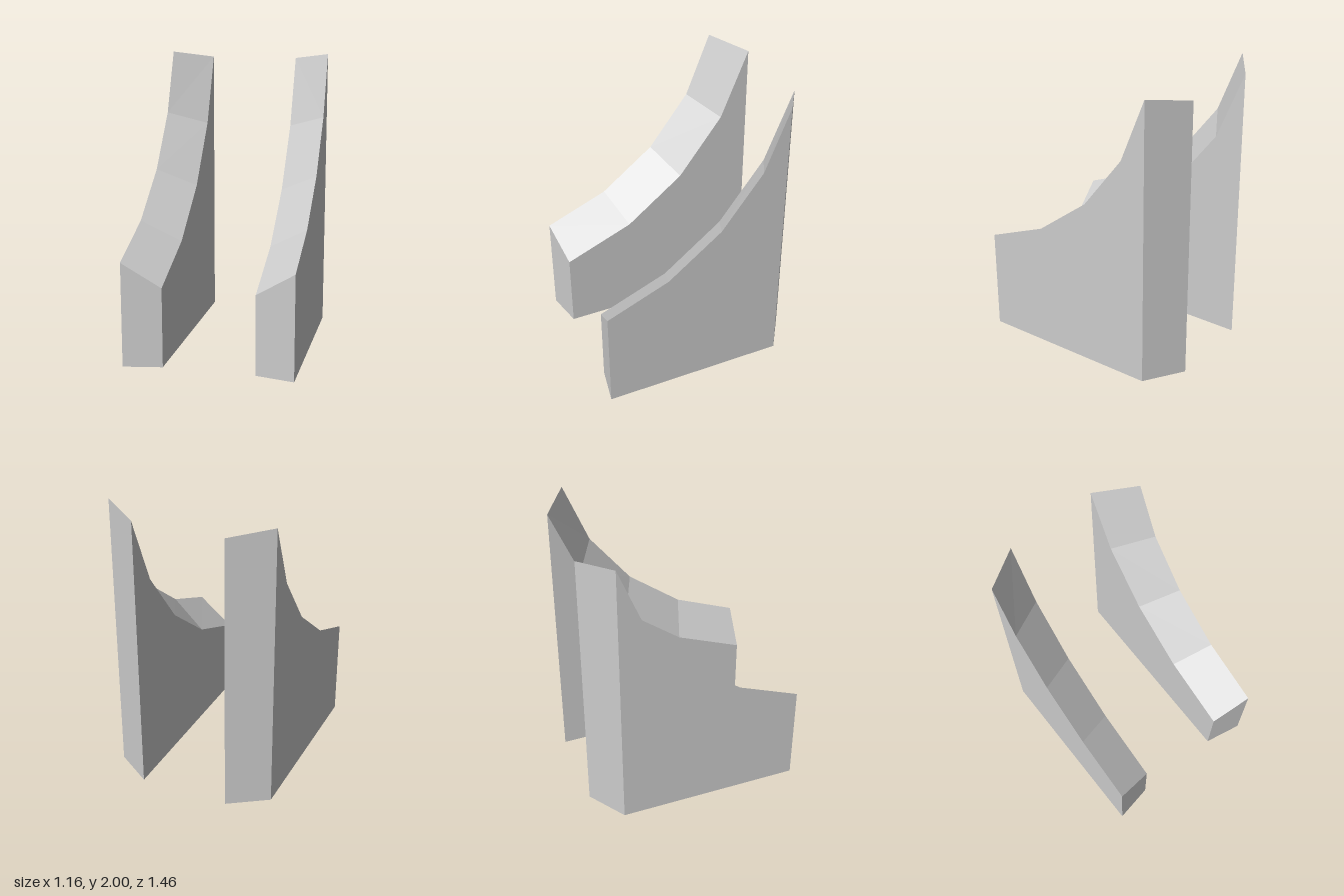
import * as THREE from 'three';

// Curved top edge of each face as [z, y], from front to back
const OUTER_X = 0.58, INNER_X = 0.315;
const outerEdge = [[0.73, 0.72], [0.29, 0.90], [-0.09, 1.19], [-0.38, 1.565], [-0.555, 2.0]];
const innerEdge = [[0.68, 0.55], [0.20, 0.745], [-0.21, 1.06], [-0.53, 1.475], [-0.73, 1.955]];

// Lofts four-cornered sections from front to back; side is 1 (left) or -1 (right)
function supportGeometry(side) {
  const sections = outerEdge.map(([oz, oy], i) => {
    const [iz, iy] = innerEdge[i];
    return [
      [side * OUTER_X, 0, oz],
      [side * OUTER_X, oy, oz],
      [side * INNER_X, iy, iz],
      [side * INNER_X, 0, iz],
    ];
  });
  const positions = [];
  const tri = (a, b, c) => positions.push(...a, ...(side > 0 ? b : c), ...(side > 0 ? c : b));
  const quad = (a, b, c, d) => { tri(a, b, c); tri(a, c, d); };

  // Outer, top, inner and bottom faces
  for (let i = 0; i < sections.length - 1; i++) {
    const s = sections[i], t = sections[i + 1];
    for (let k = 0; k < 4; k++) {
      const n = (k + 1) % 4;
      quad(s[k], t[k], t[n], s[n]);
    }
  }
  // Front and back ends
  quad(...sections[0]);
  quad(...[...sections[sections.length - 1]].reverse());

  const geometry = new THREE.BufferGeometry();
  geometry.setAttribute('position', new THREE.Float32BufferAttribute(positions, 3));
  geometry.computeVertexNormals();
  return geometry;
}

export function createModel() {
  const group = new THREE.Group();
  group.name = 'curvedSupports';
  const material = new THREE.MeshStandardMaterial({ color: 0xcccccc, flatShading: true });
  for (const [name, side] of [['leftSupport', 1], ['rightSupport', -1]]) {
    const support = new THREE.Mesh(supportGeometry(side), material);
    support.name = name;
    group.add(support);
  }
  return group;
}
